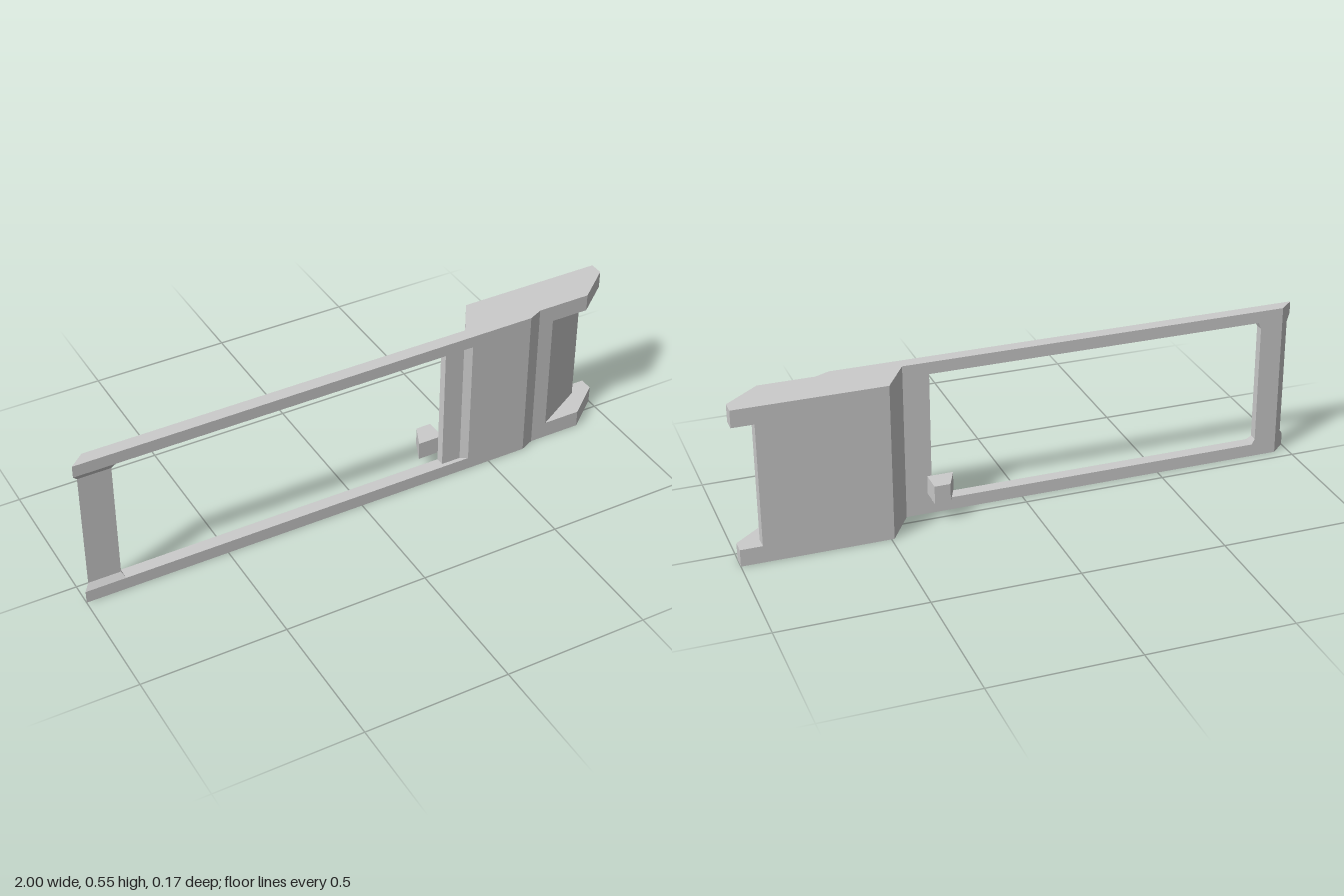
import * as THREE from 'three';

const H = 0.552, RAIL = 0.045, ARM = 0.06;

// Solid through sections stacked along y; each is [y, [[x, z], ...]], counterclockwise from above
function loft(sections) {
  const pos = [];
  const put = (s, i) => pos.push(s[1][i][0], s[0], s[1][i][1]);
  const n = sections[0][1].length;
  for (let k = 0; k < sections.length - 1; k++) {
    const a = sections[k], b = sections[k + 1];
    for (let i = 0; i < n; i++) {
      const j = (i + 1) % n;
      put(a, i); put(a, j); put(b, j);
      put(a, i); put(b, j); put(b, i);
    }
  }
  const cap = (s, flip) => {
    const pts = s[1].map(([x, z]) => new THREE.Vector2(x, -z));
    for (const f of THREE.ShapeUtils.triangulateShape(pts, [])) {
      (flip ? [f[0], f[2], f[1]] : f).forEach(i => put(s, i));
    }
  };
  cap(sections[0], true);
  cap(sections[sections.length - 1], false);
  const g = new THREE.BufferGeometry();
  g.setAttribute('position', new THREE.Float32BufferAttribute(pos, 3));
  g.computeVertexNormals();
  return g;
}

const prism = (profile, y0, y1) => loft([[y0, profile], [y1, profile]]);

export function createModel() {
  const group = new THREE.Group();
  const material = new THREE.MeshStandardMaterial({ color: 0xcccccc, flatShading: true });
  const add = (name, geometry) => {
    const mesh = new THREE.Mesh(geometry, material);
    mesh.name = name;
    group.add(mesh);
  };

  // Long side rails, carrying the full outline from thin frame to thick end
  const rail = [
    [-1, 0.085], [0.64, 0.085], [0.69, 0.062], [0.88, 0.062], [1, -0.037],
    [1, -0.085], [0.49, -0.085], [0.41, 0.04], [-0.95, 0.04],
  ];
  add('lowerRail', prism(rail, 0, RAIL));
  add('upperRail', prism(rail, H - RAIL + 0.003, H));

  // Thick block between the rails, with a thin lip at the window and a sloped recess at the end
  const body = [
    [0.32, 0.07], [0.39, 0.07], [0.415, 0.085], [0.64, 0.085], [0.69, 0.062], [0.745, 0.062],
    [0.925, -0.04], [0.925, -0.085], [0.49, -0.085], [0.41, 0.04], [0.32, 0.04],
  ];
  add('block', prism(body, RAIL, H - RAIL + 0.003));

  // Thickening of the two arms beside the recess
  const arm = [[0.745, 0.062], [0.88, 0.062], [1, -0.037], [1, -0.085], [0.745, -0.085]];
  add('lowerArm', prism(arm, RAIL, ARM));
  add('upperArm', prism(arm, H - ARM, H - RAIL + 0.003));

  // Crossbar closing the far end, flaring out where it meets the rails
  const wide = [[-1, 0.085], [-0.86, 0.085], [-0.86, 0.04], [-0.95, 0.04]];
  const slim = [[-0.983, 0.07], [-0.87, 0.07], [-0.87, 0.04], [-0.95, 0.04]];
  add('crossbar', loft([
    [RAIL, wide], [0.065, slim], [H - 0.065, slim], [H - RAIL + 0.003, wide],
  ]));

  // Small wedge-shaped catch behind the lip
  const peg = [[0.245, 0.04], [0.335, 0.04], [0.335, -0.038], [0.28, -0.038]];
  add('catch', prism(peg, 0.075, 0.14));

  return group;
}
